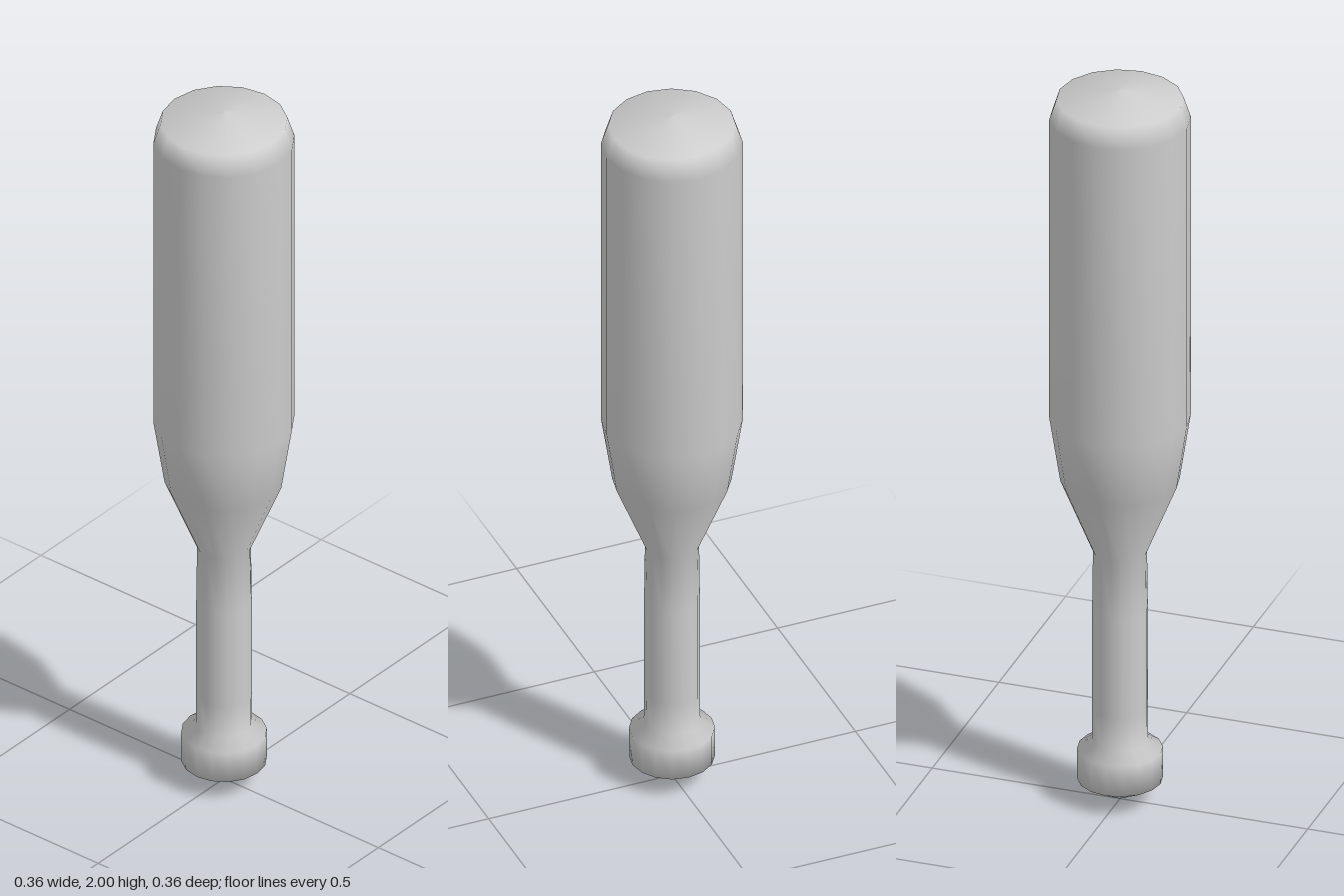
import * as THREE from 'three';

export function createModel() {
  const group = new THREE.Group();
  group.name = 'bat';
  const material = new THREE.MeshStandardMaterial({ color: 0xcccccc });

  // Radius and height pairs, from the tip of the knob to the crown of the barrel
  const profile = [
    [0, 0], [0.108, 0.06], [0.108, 0.145], // knob
    [0.071, 0.17], [0.07, 0.26], [0.07, 0.54], [0.068, 0.7], // handle
    [0.15, 0.9], [0.178, 1.08], // taper
    [0.178, 1.92], [0.16, 1.975], [0, 2], // barrel and crown
  ].map(([r, y]) => new THREE.Vector2(r, y));

  const body = new THREE.Mesh(new THREE.LatheGeometry(profile, 16), material);
  body.name = 'batBody';
  group.add(body);
  return group;
}
